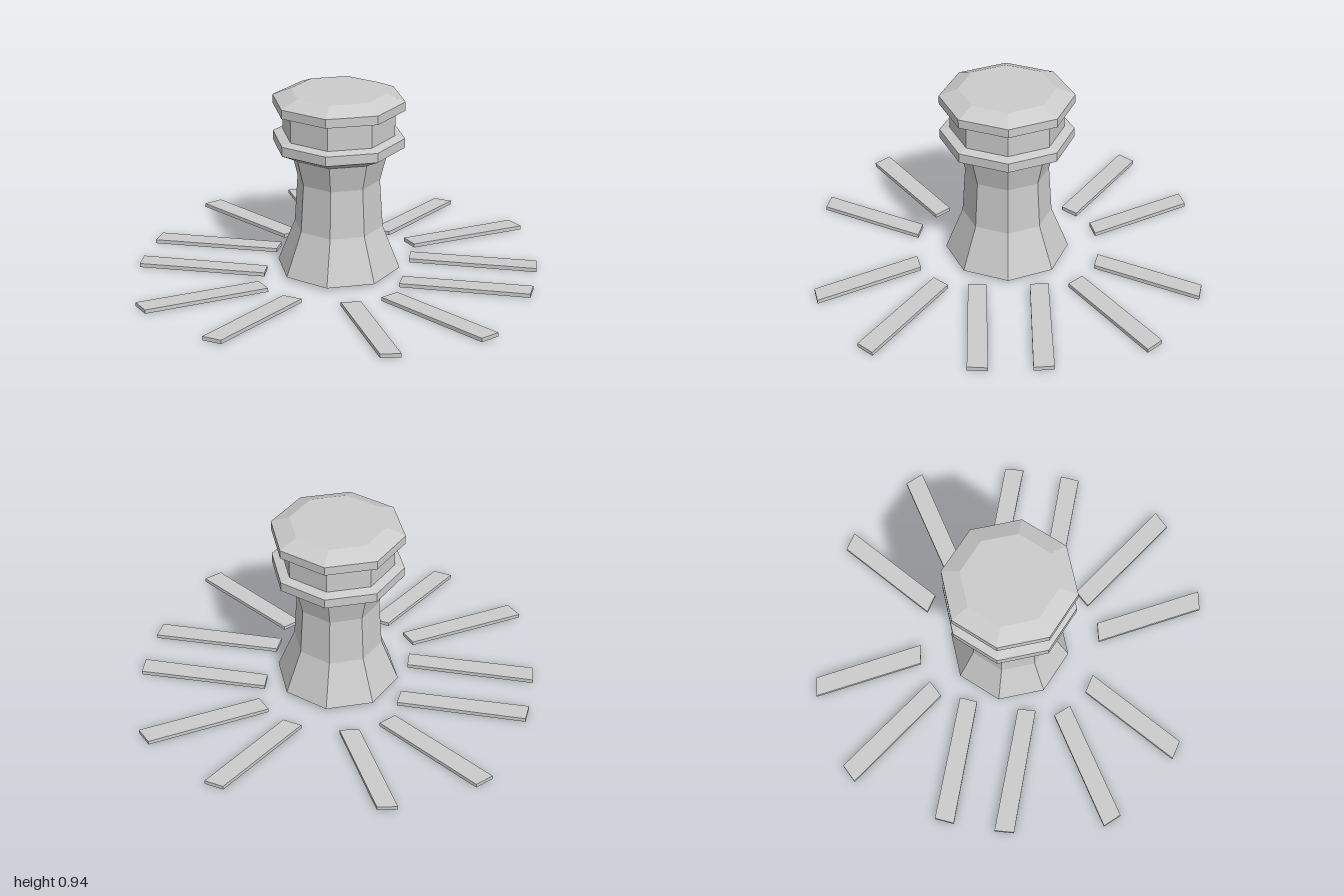
import * as THREE from 'three';

const material = new THREE.MeshStandardMaterial({
  color: 0xcccccc, flatShading: true, side: THREE.DoubleSide,
});

// Octagonal tower, open underneath: [radius, height]
const TOWER = [
  [0.314, 0.016], [0.226, 0.24], [0.21, 0.485], [0.243, 0.62],  // waisted shaft
  [0.333, 0.665], [0.333, 0.713], [0.283, 0.724],               // lower collar
  [0.283, 0.845], [0.333, 0.857], [0.333, 0.902],               // neck and cap rim
  [0.24, 0.94], [0, 0.94],                                      // bevelled flat top
];

// Slat outlines of one quadrant, corners as [x, z]
const SLATS = [
  [[0.096, 0.461], [0.193, 0.438], [0.466, 0.938], [0.37, 0.96]],
  [[0.283, 0.372], [0.348, 0.3], [0.877, 0.647], [0.807, 0.72]],
  [[0.342, 0.2], [0.348, 0.108], [1.0, 0.105], [0.992, 0.204]],
];
const SLAT_HEIGHT = 0.02;

// Thin slat with a hollow underside
function slatGeometry(corners, sx, sz) {
  const shape = new THREE.Shape(corners.map(([x, z]) => new THREE.Vector2(x * sx, -z * sz)));
  const solid = new THREE.ExtrudeGeometry(shape, { depth: SLAT_HEIGHT, bevelEnabled: false });
  solid.rotateX(-Math.PI / 2);
  // the first two triangles are the bottom cap; leave them out
  const geometry = new THREE.BufferGeometry();
  geometry.setAttribute('position',
    new THREE.BufferAttribute(solid.attributes.position.array.slice(18), 3));
  geometry.computeVertexNormals();
  return geometry;
}

export function createModel() {
  const model = new THREE.Group();
  model.name = 'towerWithRadialSlats';

  const profile = TOWER.map(([r, y]) => new THREE.Vector2(r, y));
  const tower = new THREE.Mesh(new THREE.LatheGeometry(profile, 8), material);
  tower.name = 'tower';
  model.add(tower);

  // Ring of slats, mirrored into all four quadrants
  const slats = new THREE.Group();
  slats.name = 'groundSlats';
  for (const sx of [1, -1]) {
    for (const sz of [1, -1]) {
      SLATS.forEach((corners, i) => {
        const slat = new THREE.Mesh(slatGeometry(corners, sx, sz), material);
        slat.name = `${sz > 0 ? 'front' : 'back'}${sx > 0 ? 'Left' : 'Right'}Slat${i + 1}`;
        slats.add(slat);
      });
    }
  }
  model.add(slats);
  return model;
}
